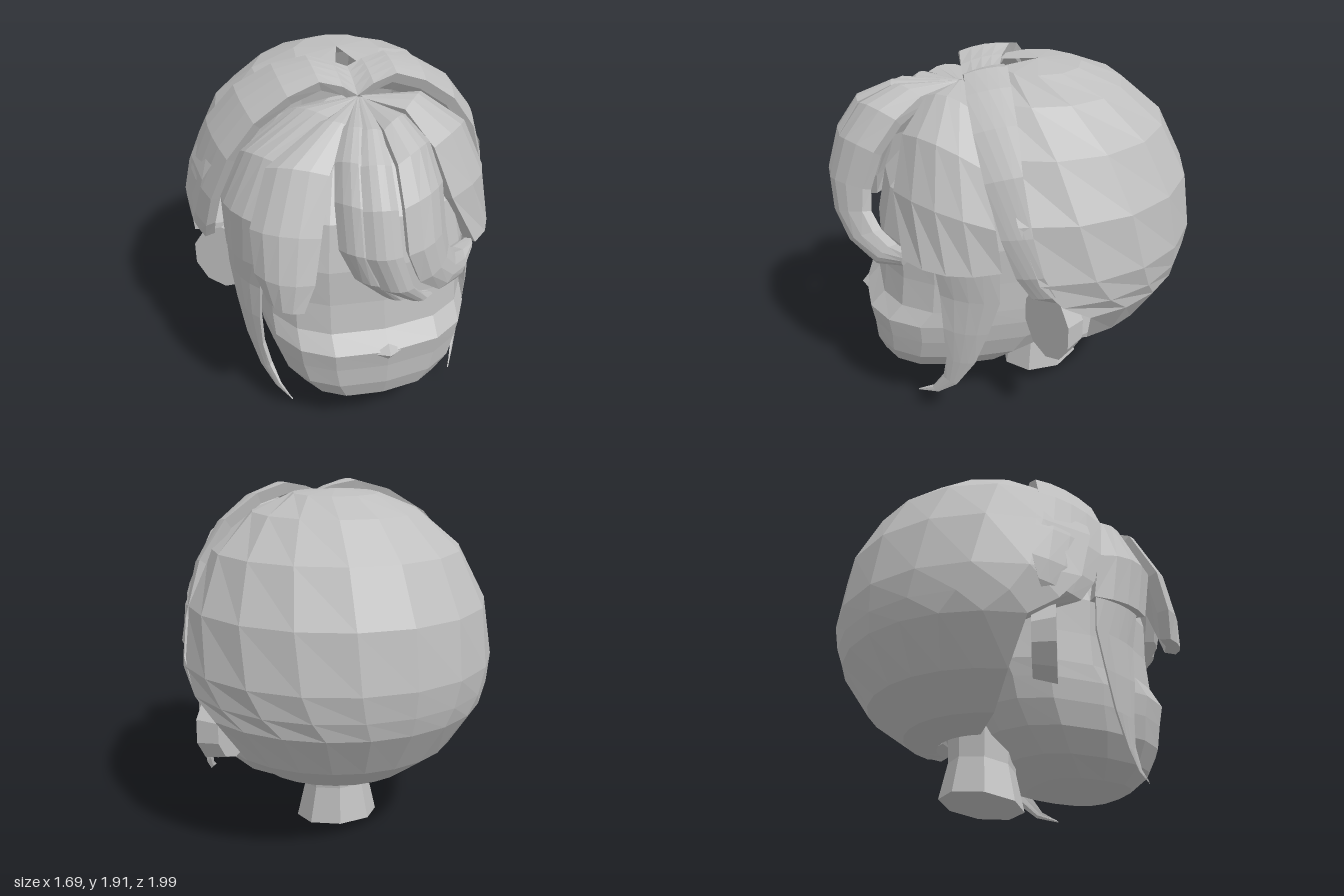
import * as THREE from 'three';

const V = (p) => new THREE.Vector3(...p);
const CENTRE = V([0, 1.05, 0.1]);
const gray = new THREE.MeshStandardMaterial({ color: 0xbfbfbf, flatShading: true, side: THREE.DoubleSide });
gray.name = 'plain gray';

// Skin rows of points (all the same length) into a surface that faces outwards
function loft(rows, closed, caps) {
  const n = rows[0].length, pts = rows.flat(), idx = [];
  for (let r = 0; r < rows.length - 1; r++) {
    for (let i = 0; i < (closed ? n : n - 1); i++) {
      const a = r * n + i, b = r * n + (i + 1) % n;
      idx.push(a, b, a + n, b, b + n, a + n);
    }
  }
  if (caps) {
    const e = (rows.length - 1) * n;
    for (let i = 1; i < n - 1; i++) idx.push(0, i + 1, i, e, e + i, e + i + 1);
  }
  const mid = pts.reduce((s, p) => s.add(p), V([0, 0, 0])).divideScalar(pts.length);
  let volume = 0;
  for (let k = 0; k < idx.length; k += 3) {
    const [a, b, c] = [0, 1, 2].map((j) => pts[idx[k + j]].clone().sub(mid));
    volume += a.dot(b.cross(c));
  }
  if (volume < 0) idx.reverse();
  const g = new THREE.BufferGeometry().setFromPoints(pts);
  g.setIndex(idx);
  g.computeVertexNormals();
  return g;
}

// A lock of hair between two edges, arched away from the head
function strand(left, right, arch = 0.2, thick = 0.06) {
  const rows = left.map((l, i) => {
    const L = V(l), R = V(right[i]), w = L.distanceTo(R);
    const out = L.clone().add(R).multiplyScalar(0.5).sub(CENTRE).normalize();
    const at = (t, h) => L.clone().lerp(R, t).addScaledVector(out, h);
    const t = Math.min(thick, w * 0.4);
    return [at(0, 0), at(0.25, w * arch * 0.75), at(0.5, w * arch), at(0.75, w * arch * 0.75),
      at(1, 0), at(0.92, -t), at(0.5, w * arch * 0.5 - t), at(0.08, -t)];
  });
  return loft(rows, true, true);
}

const flip = (edge) => edge.map(([x, y, z]) => [-x, y, z]);

export function createModel() {
  const model = new THREE.Group();
  const add = (name, geometry) => {
    const m = new THREE.Mesh(geometry, gray);
    m.name = name;
    model.add(m);
    return m;
  };

  // Head: rounded-square sections [y, half width, front z, back z]
  const sq = (v) => Math.sign(v) * Math.abs(v) ** 0.73;
  const head = [
    [0.15, 0.08, 0.58, 0.4], [0.18, 0.26, 0.69, 0.14], [0.25, 0.41, 0.76, -0.08], [0.36, 0.5, 0.8, -0.23],
    [0.48, 0.54, 0.81, -0.32], [0.59, 0.56, 0.83, -0.36], [0.68, 0.56, 0.75, -0.4], [0.85, 0.56, 0.73, -0.4],
    [1.05, 0.57, 0.73, -0.4], [1.3, 0.53, 0.68, -0.4], [1.5, 0.4, 0.5, -0.3], [1.62, 0.12, 0.3, -0.1],
  ].map(([y, w, f, b]) => Array.from({ length: 16 }, (_, i) => {
    const a = i / 16 * Math.PI * 2;
    return V([w * sq(Math.sin(a)), y, (f + b) / 2 + (f - b) / 2 * sq(Math.cos(a))]);
  }));
  add('head', loft(head, true, true));

  // Nose
  const nose = add('nose', new THREE.ConeGeometry(0.08, 0.04, 4));
  nose.rotation.x = Math.PI / 2;
  nose.scale.z = 0.65;
  nose.position.set(0, 0.58, 0.835);

  // Neck, its underside sloping up to the back
  const neckProfile = [[0, 0], [0.225, 0], [0.18, 0.2], [0.19, 0.5]].map((p) => new THREE.Vector2(...p));
  const neckShape = new THREE.LatheGeometry(neckProfile, 8, Math.PI / 8);
  neckShape.applyMatrix4(new THREE.Matrix4().set(1, 0, 0, 0, 0, 1, -0.14, 0, 0, 0, 1, 0, 0, 0, 0, 1));
  add('neck', neckShape).position.set(0, 0.03, -0.18);

  // Ears: thick discs swept back
  for (const s of [1, -1]) {
    const disc = new THREE.CylinderGeometry(0.2, 0.17, 0.12, 10).rotateX(Math.PI / 2).scale(0.9, 1.03, 1);
    const ear = add(s > 0 ? 'leftEar' : 'rightEar', disc);
    ear.rotation.y = s * 0.55;
    ear.position.set(s * 0.66, 0.68, -0.17);
  }

  // Back hair: arcs of a ball around the rear [y, back z, front edge z]
  const axisZ = -0.15;
  const back = [
    [1.88, -0.151, -0.15], [1.86, -0.38, 0.07], [1.77, -0.6, 0.12], [1.58, -0.82, 0.1], [1.3, -0.96, 0.04],
    [1.0, -1.0, -0.06], [0.86, -0.98, -0.18], [0.76, -0.95, -0.33], [0.53, -0.8, -0.35], [0.38, -0.6, -0.32], [0.33, -0.42, -0.3],
  ].map(([y, b, f]) => {
    const r = axisZ - b;
    const end = Math.acos(THREE.MathUtils.clamp((axisZ - f) / r, -1, 1));
    return Array.from({ length: 11 }, (_, i) => {
      const a = (i / 5 - 1) * end;
      return V([r * Math.sin(a), y, axisZ - r * Math.cos(a)]);
    });
  });
  add('backHair', loft(back, false, false));

  // Swept bands bordering the back hair, the right one wider
  const bandFront = [[0, 1.77, 0.24], [0.08, 1.83, 0.25], [0.2, 1.87, 0.25], [0.36, 1.81, 0.25],
    [0.53, 1.68, 0.23], [0.67, 1.48, 0.19], [0.76, 1.22, 0.12], [0.79, 1.02, 0.05],
    [0.79, 0.9, -0.03], [0.75, 0.84, -0.17], [0.69, 0.76, -0.32]];
  const bandBack = [[0, 1.85, 0.05], [0.08, 1.88, 0.04], [0.2, 1.905, 0.03], [0.37, 1.855, 0.03],
    [0.56, 1.73, 0.02], [0.71, 1.53, 0.01], [0.81, 1.25, -0.03], [0.845, 1.05, -0.08],
    [0.835, 0.93, -0.14], [0.8, 0.86, -0.22], [0.74, 0.76, -0.35]];
  const wideZ = [0.05, 0.03, -0.02, -0.08, -0.15, -0.22, -0.3, -0.34, -0.3, -0.25, -0.35];
  const bandBackWide = bandBack.map(([x, y], i) => [-x, y, wideZ[i]]);
  add('leftHairBand', strand(bandBack, bandFront, 0.05));
  add('rightHairBand', strand(bandBackWide, flip(bandFront), 0.06));

  // Side hair over the temples
  const sideBack = [[0, 1.77, 0.24], [0.35, 1.73, 0.21], [0.6, 1.52, 0.18], [0.71, 1.25, 0.14], [0.7, 1.0, 0.11]];
  add('leftSideHair', strand(sideBack,
    [[0.02, 1.77, 0.28], [0.18, 1.76, 0.44], [0.29, 1.6, 0.57], [0.38, 1.33, 0.63], [0.54, 1.02, 0.6]], 0.17));
  add('rightSideHair', strand(flip(sideBack),
    [[-0.02, 1.77, 0.28], [-0.2, 1.76, 0.42], [-0.47, 1.58, 0.47], [-0.59, 1.3, 0.55], [-0.6, 1.02, 0.5]], 0.12));

  // Long sidelocks hooking forwards at the tips
  const lockBack = [[0.7, 1.12, 0.12], [0.69, 0.82, 0.12], [0.67, 0.62, 0.18], [0.64, 0.42, 0.25], [0.59, 0.25, 0.35], [0.53, 0.16, 0.45], [0.46, 0.13, 0.56]];
  const lockFront = [[0.6, 1.12, 0.46], [0.58, 0.82, 0.42], [0.59, 0.62, 0.41], [0.58, 0.42, 0.4], [0.55, 0.28, 0.42], [0.51, 0.18, 0.48], [0.47, 0.14, 0.55]];
  add('leftSidelock', strand(lockBack, lockFront, 0.08, 0.03));
  add('rightSidelock', strand(flip(lockBack), flip(lockFront), 0.08, 0.03));

  // Fringe
  add('rightFringe', strand(
    [[-0.01, 1.77, 0.25], [-0.25, 1.74, 0.42], [-0.53, 1.57, 0.48], [-0.64, 1.3, 0.57], [-0.64, 1.08, 0.63], [-0.59, 0.93, 0.67]],
    [[0, 1.77, 0.28], [-0.12, 1.74, 0.5], [-0.26, 1.57, 0.64], [-0.33, 1.3, 0.75], [-0.38, 1.08, 0.81], [-0.44, 0.93, 0.82]], 0.18));
  add('innerFringe', strand(
    [[-0.02, 1.77, 0.26], [-0.16, 1.74, 0.52], [-0.24, 1.65, 0.66], [-0.27, 1.5, 0.76], [-0.27, 1.28, 0.83], [-0.2, 1.12, 0.86], [-0.05, 0.97, 0.84], [0.09, 0.9, 0.78]],
    [[0, 1.77, 0.28], [-0.07, 1.76, 0.58], [-0.12, 1.67, 0.77], [-0.14, 1.5, 0.88], [-0.14, 1.28, 0.94], [-0.07, 1.1, 0.93], [0.06, 0.95, 0.87], [0.11, 0.9, 0.79]]));
  add('middleFringe', strand(
    [[-0.01, 1.77, 0.26], [-0.09, 1.76, 0.6], [-0.15, 1.67, 0.77], [-0.17, 1.5, 0.88], [-0.17, 1.28, 0.94], [-0.09, 1.08, 0.93], [0.06, 0.95, 0.87], [0.21, 0.89, 0.77]],
    [[0.02, 1.77, 0.28], [0, 1.76, 0.62], [-0.01, 1.67, 0.8], [-0.01, 1.5, 0.91], [0, 1.28, 0.97], [0.07, 1.07, 0.95], [0.17, 0.94, 0.88], [0.24, 0.88, 0.78]]));
  add('curledFringe', strand(
    [[0, 1.77, 0.26], [0.01, 1.76, 0.62], [0.02, 1.67, 0.8], [0.02, 1.5, 0.91], [0.03, 1.28, 0.97], [0.1, 1.1, 0.95], [0.23, 0.98, 0.88], [0.39, 0.92, 0.74], [0.5, 0.96, 0.6]],
    [[0.02, 1.77, 0.28], [0.17, 1.75, 0.47], [0.25, 1.66, 0.6], [0.28, 1.5, 0.72], [0.28, 1.3, 0.79], [0.3, 1.18, 0.8], [0.36, 1.09, 0.75], [0.44, 1.04, 0.67], [0.52, 1.04, 0.59]]));

  return model;
}
